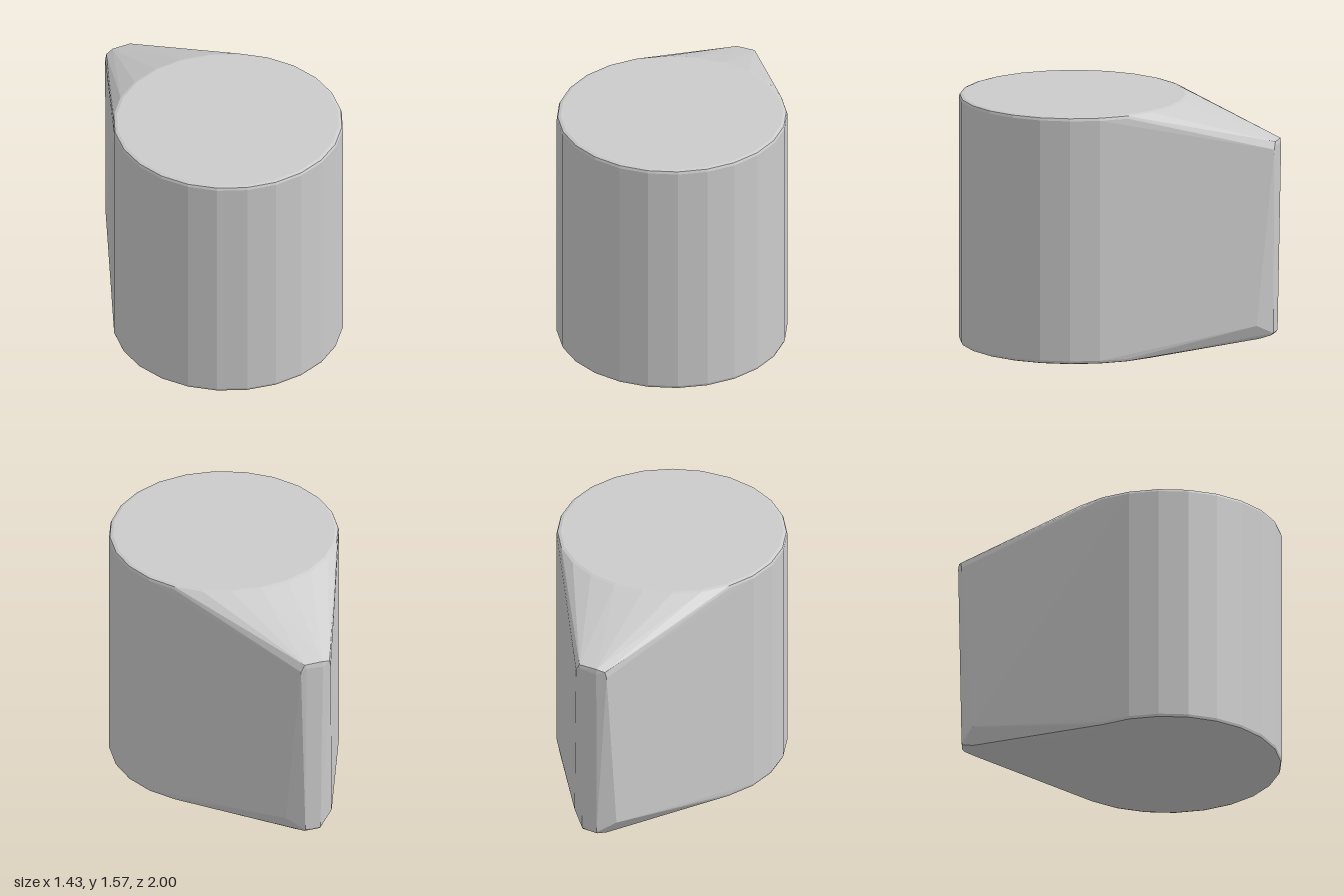
import * as THREE from 'three';
import { ConvexGeometry } from 'three/addons/geometries/ConvexGeometry.js';

const HEIGHT = 1.565, RADIUS = 0.715, CENTRE_Z = 0.285, SIDES = 24;

export function createModel() {
  const group = new THREE.Group();
  group.name = 'beakedDrum';
  const points = [];

  // Round drum: rings with a small rounded rim at bottom and top
  const rim = [[0.69, 0], [0.709, 0.006], [RADIUS, 0.022]];
  for (const [r, inset] of rim) {
    for (const y of [inset, HEIGHT - inset]) {
      for (let i = 0; i < SIDES; i++) {
        const a = (i / SIDES) * Math.PI * 2;
        points.push(new THREE.Vector3(r * Math.cos(a), y, CENTRE_Z + r * Math.sin(a)));
      }
    }
  }

  // Narrow upright nose at the back, with chamfered corners
  const nose = [
    // top end
    [-0.25, 1.31, -0.975], [-0.2, 1.325, -0.99], [-0.08, 1.325, -0.995],
    [-0.26, 1.27, -0.97], [-0.2, 1.29, -0.995], [-0.09, 1.3, -1], [-0.055, 1.28, -0.995],
    // bottom end
    [-0.29, 0.17, -0.9], [0.01, 0.17, -0.9],
    [-0.19, 0.11, -0.975], [-0.09, 0.11, -0.978],
    [-0.19, 0.095, -0.965], [-0.09, 0.095, -0.965],
    [-0.22, 0.075, -0.9], [-0.06, 0.075, -0.9],
  ];
  for (const p of nose) points.push(new THREE.Vector3(...p));

  // One convex skin joins the drum to the nose
  const body = new THREE.Mesh(
    new ConvexGeometry(points),
    new THREE.MeshStandardMaterial({ color: 0xcccccc, flatShading: true })
  );
  body.name = 'body';
  group.add(body);
  return group;
}
